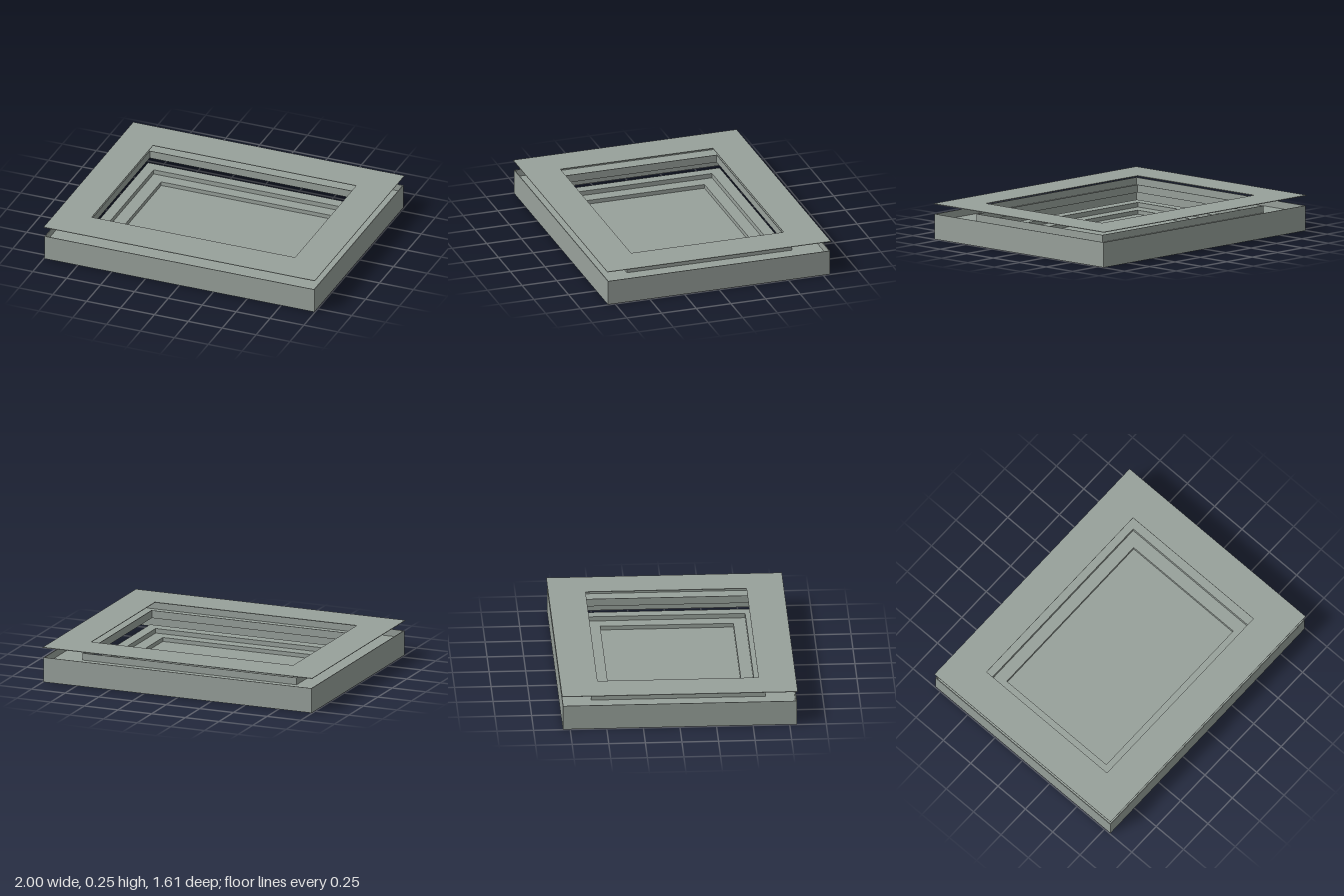
import * as THREE from 'three';

const metal = new THREE.MeshStandardMaterial({ color: 0x98a19b });
metal.name = 'greenGrey';

function rectangle(target, hx, hz) {
  target.moveTo(-hx, -hz);
  target.lineTo(hx, -hz);
  target.lineTo(hx, hz);
  target.lineTo(-hx, hz);
  target.closePath();
  return target;
}

// Flat rectangular ring given outer and inner half sizes, from y0 up to y1
function ring(name, [ox, oz], [ix, iz], y0, y1) {
  const shape = rectangle(new THREE.Shape(), ox, oz);
  shape.holes.push(rectangle(new THREE.Path(), ix, iz));
  const geometry = new THREE.ExtrudeGeometry(shape, { depth: y1 - y0, bevelEnabled: false });
  geometry.rotateX(-Math.PI / 2);
  geometry.translate(0, y0, 0);
  const mesh = new THREE.Mesh(geometry, metal);
  mesh.name = name;
  return mesh;
}

export function createModel() {
  const model = new THREE.Group();
  model.name = 'recessedFrame';
  const t = 0.005; // sheet thickness

  // Floating cover sheet with a rectangular opening
  model.add(ring('coverSheet', [1, 0.805], [0.75, 0.55], 0.243, 0.247));

  // Outer channel: tall skirt, inward shelf, upturned inner lip
  const channel = new THREE.Group();
  channel.name = 'outerChannel';
  const skirt = [0.995, 0.8], inner = [0.79, 0.59];
  channel.add(
    ring('skirt', skirt, [skirt[0] - t, skirt[1] - t], 0, 0.174),
    ring('shelf', [skirt[0] - t, skirt[1] - t], inner, 0.12, 0.12 + t),
    ring('innerLip', [inner[0] + t, inner[1] + t], inner, 0.12 + t, 0.174)
  );
  model.add(channel);

  // Stepped tray below the opening
  const tray = new THREE.Group();
  tray.name = 'steppedTray';
  const rim = [0.815, 0.62], step = [0.74, 0.54], floor = [0.65, 0.455];
  const base = new THREE.Mesh(new THREE.BoxGeometry(floor[0] * 2, 0.004, floor[1] * 2), metal);
  base.name = 'trayFloor';
  base.position.y = 0.002;
  tray.add(
    base,
    ring('trayStep', step, floor, 0, 0.032),
    ring('trayRim', rim, step, 0, 0.064)
  );
  model.add(tray);

  return model;
}
